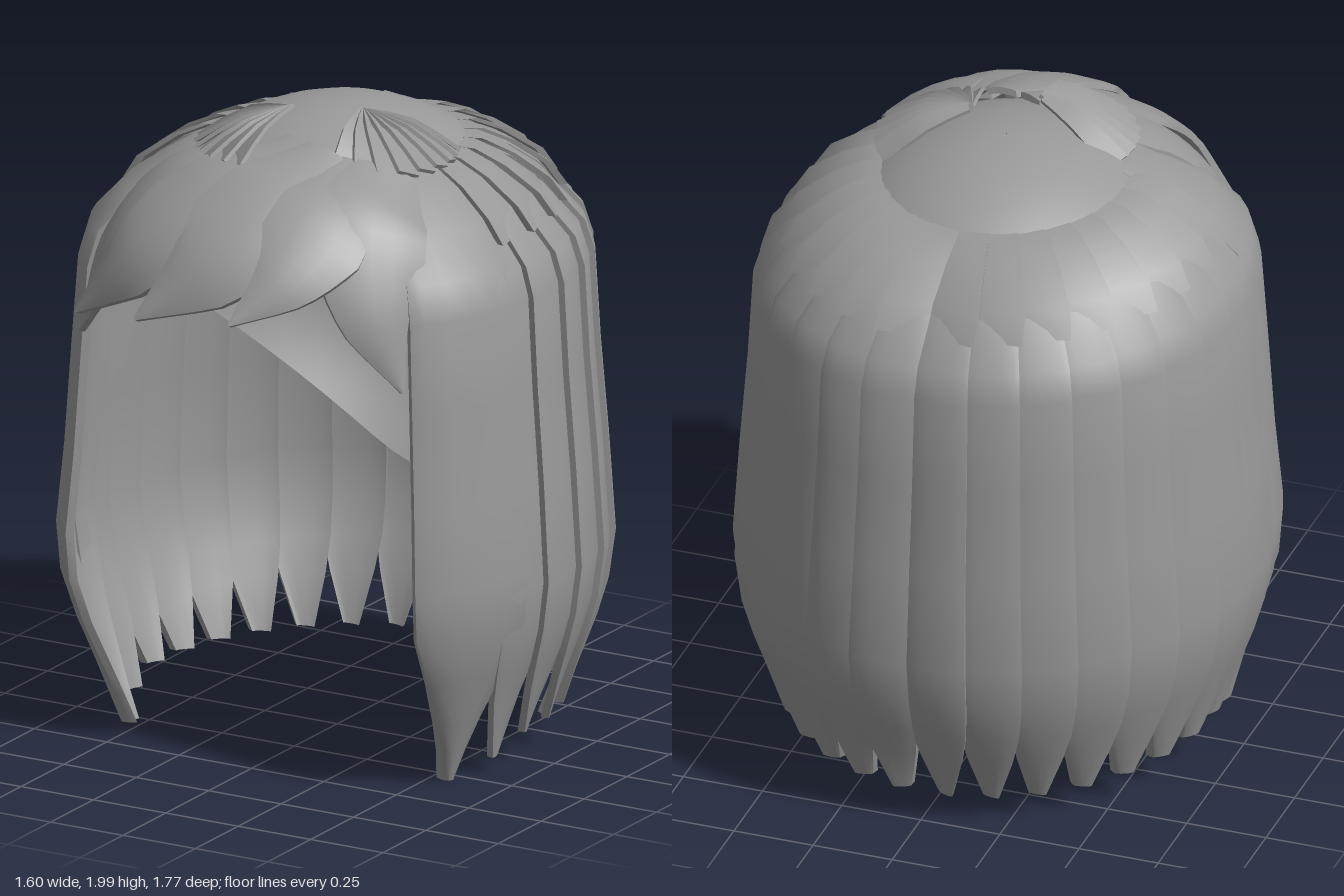
import * as THREE from 'three';
import { toCreasedNormals } from 'three/addons/utils/BufferGeometryUtils.js';

const V = (x, y, z) => new THREE.Vector3(x, y, z);
const hair = new THREE.MeshStandardMaterial({ color: 0x999999, side: THREE.DoubleSide });
hair.name = 'hair grey';

// Skin closed rings of points, optionally closing both ends
function loft(name, rings, closeEnds = true) {
  const m = rings[0].length, index = [], last = (rings.length - 1) * m;
  for (let i = 0; i < rings.length - 1; i++) {
    for (let j = 0; j < m; j++) {
      const a = i * m + j, b = i * m + (j + 1) % m, c = a + m, d = b + m;
      index.push(a, b, c, b, d, c);
    }
  }
  if (closeEnds) {
    for (let j = 0; j < m / 2 - 1; j++) {
      const k = m - 1 - j;
      index.push(j, k, j + 1, j + 1, k, k - 1);
      index.push(last + j, last + j + 1, last + k, last + j + 1, last + k - 1, last + k);
    }
  }
  const geo = new THREE.BufferGeometry().setFromPoints(rings.flat());
  geo.setIndex(index);
  const mesh = new THREE.Mesh(toCreasedNormals(geo, 0.75), hair);
  mesh.name = name;
  return mesh;
}

// Strand hugging the head: rows are [y, radius scale, width factor], b is the angle from the back
const US = [-1, -0.8, -0.4, 0, 0.4, 0.8, 1];
function headStrand(name, side, b, half, rows, lift, roll, thick = 0.025) {
  const a0 = Math.PI - side * b;
  const at = (u, y, s, w, inset) => {
    const a = a0 - u * half * w;
    const off = side * u * lift - roll * u ** 4 - inset;
    return V((0.795 * s + off) * Math.sin(a), y, (0.89 * s + off) * Math.cos(a));
  };
  return loft(name, rows.map(([y, s, w]) => [
    ...US.map(u => at(u, y, s, w, 0)),
    ...[...US].reverse().map(u => at(u, y, s, w, thick)),
  ]));
}

// Free curved lock: points along the path, widths at even steps, bowed across its width
function lock(name, points, widths, { tilt = 0, thick = 0.02, bow = 0.2, steps = 16 } = {}) {
  const curve = new THREE.CatmullRomCurve3(points.map(p => V(...p)));
  const rings = [];
  for (let i = 0; i <= steps; i++) {
    const t = i / steps, p = curve.getPoint(t), tan = curve.getTangent(t);
    const n = p.clone().sub(V(0, 1.3, 0.1));
    n.addScaledVector(tan, -n.dot(tan)).normalize().applyAxisAngle(tan, tilt);
    const s = tan.clone().cross(n);
    const f = t * (widths.length - 1), k = Math.min(Math.floor(f), widths.length - 2);
    const w = THREE.MathUtils.lerp(widths[k], widths[k + 1], f - k) / 2;
    const at = (u, inset) => p.clone().addScaledVector(s, u * w)
      .addScaledVector(n, -bow * w * u * u - inset);
    rings.push([...US.map(u => at(u, 0)), ...[...US].reverse().map(u => at(u, thick))]);
  }
  return loft(name, rings);
}

export function createModel() {
  const model = new THREE.Group();
  model.name = 'hair';

  // Scalp cap, its rim running from the hairline over the temples down to the nape
  const rings = [];
  for (let i = 0; i <= 16; i++) {
    const ring = [];
    for (let j = 0; j < 48; j++) {
      const a = -j / 48 * Math.PI * 2, c = Math.cos(a);
      const end = Math.acos(0.2 + 0.66 * c - 0.27 * c * c);
      const th = 0.002 + (end - 0.002) * i / 16;
      ring.push(V(0.7 * Math.sin(th) * Math.sin(a), 1.2 + 0.75 * Math.cos(th), 0.77 * Math.sin(th) * c));
    }
    rings.push(ring);
  }
  model.add(loft('scalpCap', rings, false));

  // Long strands round the back and sides
  const backRows = [
    [1.83, 0.3, 1], [1.825, 0.47, 1], [1.77, 0.62, 1], [1.69, 0.76, 1], [1.57, 0.89, 1], [1.48, 0.925, 1],
    [1.2, 0.945, 1], [0.9, 0.975, 1], [0.6, 1, 1.03], [0.45, 0.975, 1.03], [0.34, 0.935, 0.96],
    [0.24, 0.89, 0.77], [0.09, 0.825, 0.3],
  ];
  // Wide locks framing the face
  const sideRows = [
    [1.86, 0.3, 1.1], [1.85, 0.47, 1.1], [1.78, 0.62, 1.1], [1.7, 0.77, 1.05], [1.59, 0.9, 1], [1.48, 0.94, 1],
    [1.2, 0.965, 1], [0.9, 0.99, 1], [0.65, 1.02, 1.02], [0.5, 1.005, 0.98], [0.35, 0.95, 0.72],
    [0.2, 0.88, 0.44], [0.1, 0.835, 0.26], [0, 0.79, 0.12],
  ];
  // Short overlapping layer at the crown
  const crownRows = [[1.84, 0.36, 1], [1.835, 0.5, 1], [1.79, 0.62, 1], [1.715, 0.75, 1], [1.64, 0.81, 0.85]];
  const rad = Math.PI / 180;
  for (const side of [-1, 1]) {
    for (let i = 0; i < 9; i++) {
      const rows = backRows.map(r => [...r]);
      if (i === 8) rows[12][0] = 0.05;
      model.add(headStrand('longStrand', side, (6 + 12 * i) * rad, 7 * rad, rows, 0.014, 0.006));
    }
    for (let i = 0; i < 8; i++) {
      model.add(headStrand('crownStrand', side, (7 + 12.5 * i) * rad, 7.5 * rad, crownRows, 0.025, 0));
    }
    model.add(headStrand('faceLock', side, 115 * rad, 14.5 * rad, sideRows, 0, 0.025));
  }

  // Swept fringe
  const fringe = [
    [[[-0.08, 1.9, 0.27], [-0.3, 1.79, 0.47], [-0.46, 1.57, 0.58], [-0.57, 1.29, 0.55]], [0.2, 0.36, 0.36, 0.22, 0.01]],
    [[[0.06, 1.91, 0.31], [-0.1, 1.82, 0.55], [-0.27, 1.65, 0.71], [-0.48, 1.41, 0.72]], [0.16, 0.34, 0.38, 0.26, 0.01]],
    [[[0.33, 1.87, 0.26], [0.41, 1.77, 0.48], [0.48, 1.54, 0.59], [0.56, 1.28, 0.56]], [0.2, 0.34, 0.34, 0.2, 0.01]],
    [[[0.24, 1.88, 0.29], [0.29, 1.8, 0.55], [0.27, 1.66, 0.73], [0.14, 1.51, 0.87]], [0.16, 0.3, 0.32, 0.18, 0.01]],
    [[[0.15, 1.91, 0.31], [0.11, 1.83, 0.57], [0.03, 1.68, 0.77], [-0.18, 1.48, 0.88]], [0.14, 0.36, 0.4, 0.26, 0.01]],
  ];
  for (const [points, widths] of fringe) model.add(lock('fringeLock', points, widths));

  // Two fans of thin blades where the hair parts
  const fans = [
    { x: -0.05, y: 1.98, z: 0.19, from: 100, to: 200, tilt: 0.35 },
    { x: 0.15, y: 1.97, z: 0.08, from: -35, to: 75, tilt: -0.35 },
  ];
  for (const { x, y, z, from, to, tilt } of fans) {
    for (let i = 0; i < 9; i++) {
      const a = (from + (to - from) * i / 8) * rad, c = Math.cos(a), s = Math.sin(a);
      model.add(lock('partingBlade', [
        [x, y, z], [x + 0.14 * c, y - 0.035, z + 0.14 * s], [x + 0.28 * c, y - 0.125, z + 0.26 * s],
      ], [0.03, 0.07, 0.09], { tilt, thick: 0.012, bow: 0, steps: 4 }));
    }
  }
  return model;
}
